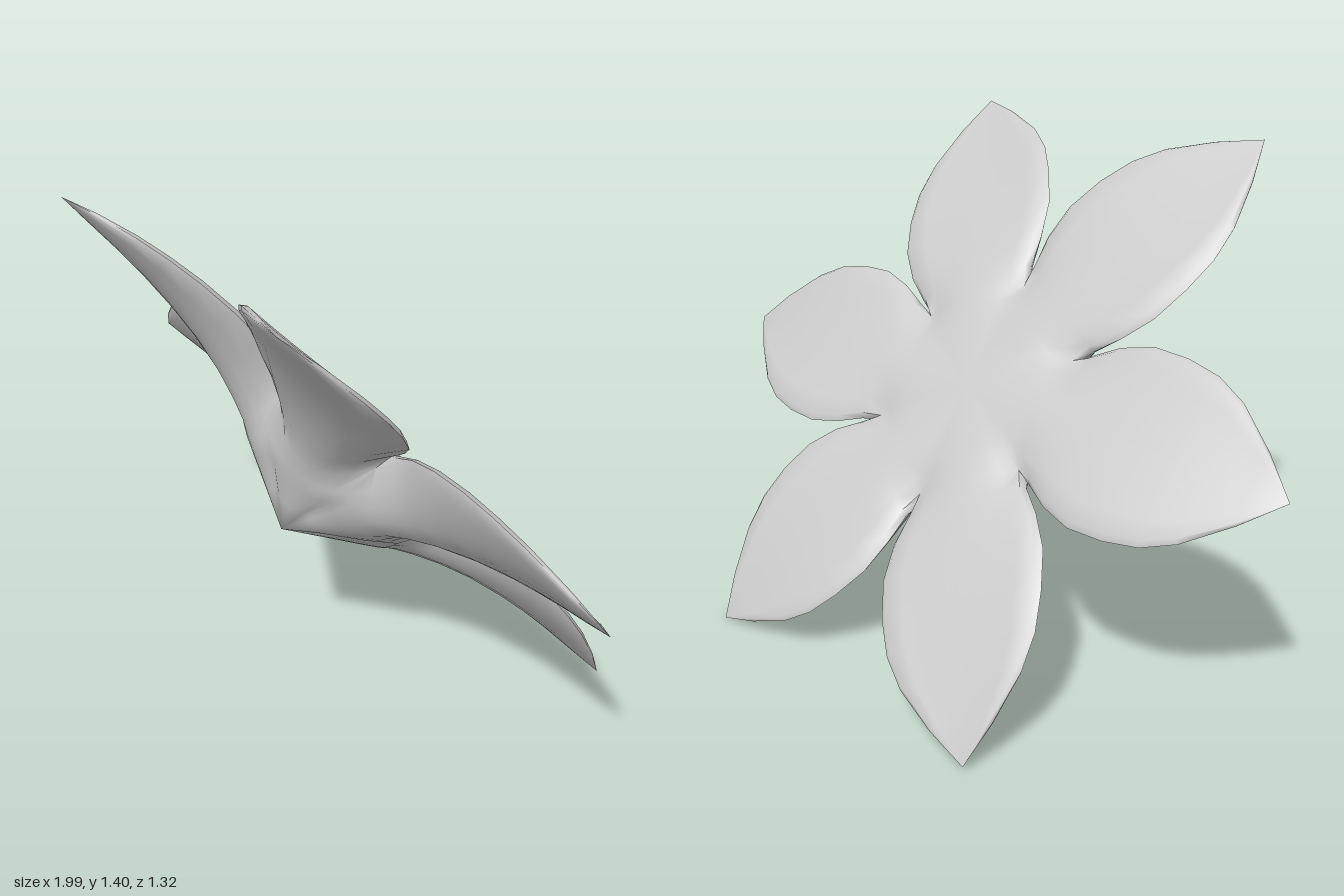
import * as THREE from 'three';
import { mergeGeometries, mergeVertices, toCreasedNormals } from 'three/addons/utils/BufferGeometryUtils.js';

const PETALS = 6;
const TAN = Math.tan(Math.PI / PETALS);
const K = 9;      // points across each face of a petal
const NOTCH = 4;  // first row where neighbouring petals are apart

// Rows along a petal: distance, half width, then heights of
// outer face (middle, edge) and inner face (middle, edge)
const rows = [
  [0, 0, 0.285, 0.285, -0.065, -0.065],
  [0.1, 0.1 * TAN, 0.23, 0.208, -0.065, -0.064],
  [0.19, 0.19 * TAN, 0.18, 0.152, -0.065, -0.058],
  [0.24, 0.24 * TAN, 0.152, 0.112, -0.065, -0.046],
  [0.28, 0.28 * TAN, 0.127, 0.015, -0.065, -0.03],
  [0.34, 0.19, 0.1, -0.02, -0.065, -0.046],
  [0.42, 0.228, 0.07, -0.033, -0.064, -0.056],
  [0.52, 0.254, 0.042, -0.037, -0.062, -0.06],
  [0.63, 0.25, 0.022, -0.036, -0.056, -0.058],
  [0.73, 0.23, 0.01, -0.03, -0.047, -0.05],
  [0.82, 0.186, 0.004, -0.022, -0.036, -0.04],
  [0.93, 0.096, 0.002, -0.01, -0.019, -0.022],
  [1.025, 0, 0, 0, 0, 0],
];

// One sixth of the flower: a wedge of the base that runs out into a petal
function petalGeometry() {
  const pos = [], index = [], L = 2 * K + 2;
  rows.forEach(([a, w, topMid, topEdge, lowMid, lowEdge], i) => {
    const bevel = i > NOTCH ? 1 : 0;
    const face = (mid, edge, half, dir) => {
      for (let j = 0; j < K; j++) {
        const t = dir * (-1 + (2 * j) / (K - 1));
        pos.push(a, half * t, mid + (edge - mid) * t * t);
      }
    };
    const rim = (topEdge + lowEdge) / 2;
    face(topMid, topEdge, w * (1 - 0.04 * bevel), 1);
    pos.push(a, w, rim);
    face(lowMid, lowEdge, w * (1 - 0.07 * bevel), -1);
    pos.push(a, -w, rim);
  });
  const last = rows.length - 2;
  for (let i = 0; i <= last; i++) {
    for (let j = 0; j < L; j++) {
      const onRim = j % (K + 1) >= K - 1;
      if (onRim && i < NOTCH) continue; // wedges join here
      const n = (j + 1) % L;
      const a = i * L + j, b = (i + 1) * L + j, c = (i + 1) * L + n, d = i * L + n;
      if (i > 0) index.push(a, b, d);
      if (i < last) index.push(b, c, d);
    }
  }
  const g = new THREE.BufferGeometry();
  g.setAttribute('position', new THREE.Float32BufferAttribute(pos, 3));
  g.setIndex(index);
  return g;
}

export function createModel() {
  const group = new THREE.Group();
  group.name = 'flower';

  // Six wedges around the axis, welded into one smooth blossom
  const parts = [];
  for (let k = 0; k < PETALS; k++) {
    parts.push(petalGeometry().rotateZ((k * Math.PI * 2) / PETALS));
  }
  const welded = mergeVertices(mergeGeometries(parts), 1e-4);
  const blossom = new THREE.Mesh(
    toCreasedNormals(welded, 1.3),
    new THREE.MeshStandardMaterial({ color: 0xcccccc })
  );
  blossom.name = 'blossom';

  // Tilt: the pointed base faces forward and down
  const n = new THREE.Vector3(-0.195, -0.623, 0.758).normalize();
  const u = new THREE.Vector3(0.97, -0.015, 0.238);
  u.addScaledVector(n, -u.dot(n)).normalize();
  const v = new THREE.Vector3().crossVectors(n, u);
  blossom.quaternion.setFromRotationMatrix(new THREE.Matrix4().makeBasis(u, v, n));
  blossom.position.y = 0.705;
  group.add(blossom);
  return group;
}
